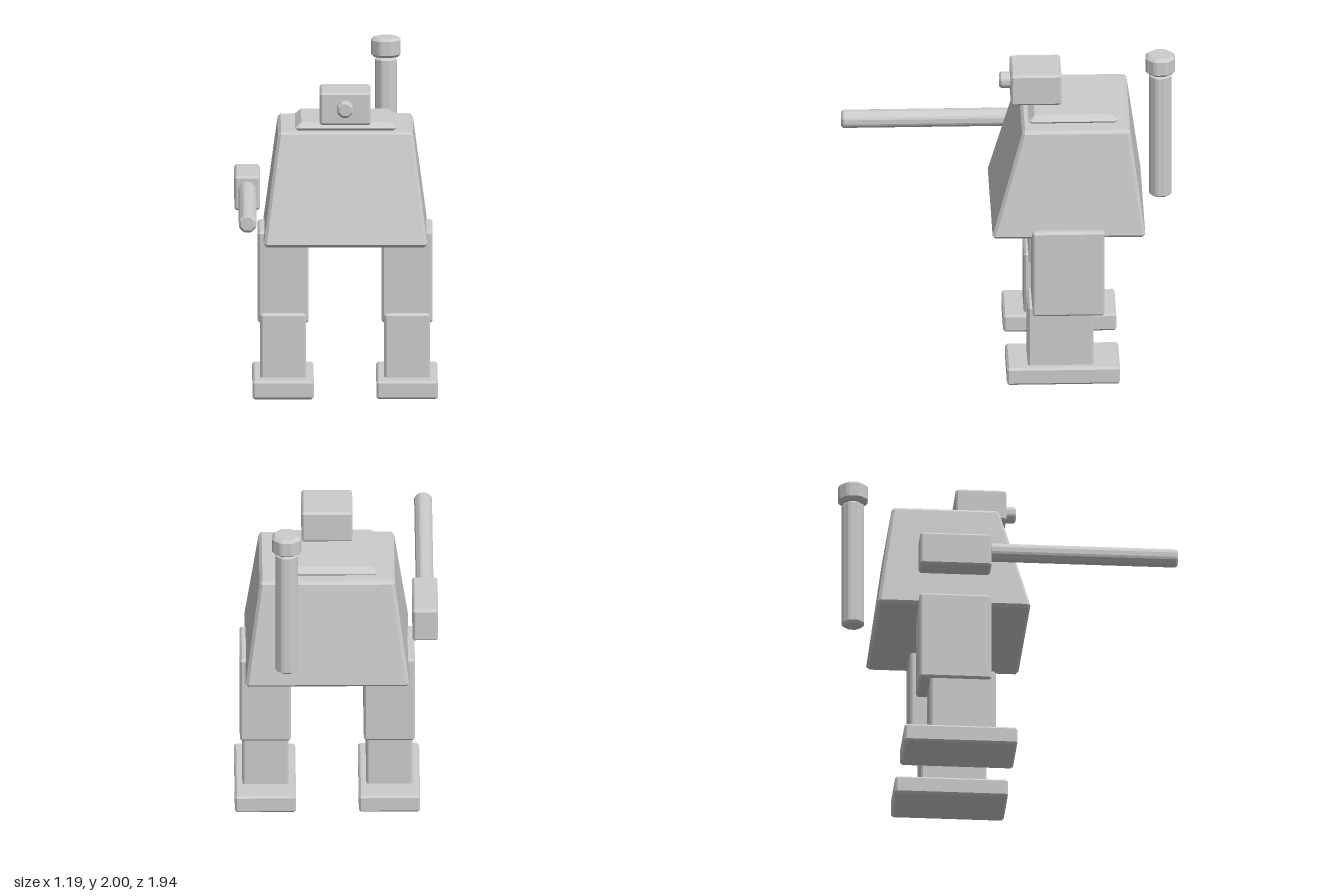
import * as THREE from 'three';
import { ConvexGeometry } from 'three/addons/geometries/ConvexGeometry.js';

const material = new THREE.MeshStandardMaterial({ color: 0xcccccc, flatShading: true });

function addMesh(parent, name, geometry) {
  const mesh = new THREE.Mesh(geometry, material);
  mesh.name = name;
  parent.add(mesh);
  return mesh;
}

// Chamfered block between two rectangles [x0, x1, z0, z1]; each corner becomes three points
function block(y0, y1, bottom, top = bottom, c = 0.013) {
  const points = [];
  for (const [y, r, sy] of [[y0, bottom, 1], [y1, top, -1]]) {
    for (const [x, sx] of [[r[0], 1], [r[1], -1]]) {
      for (const [z, sz] of [[r[2], 1], [r[3], -1]]) {
        points.push(
          new THREE.Vector3(x, y + sy * c, z + sz * c),
          new THREE.Vector3(x + sx * c, y, z + sz * c),
          new THREE.Vector3(x + sx * c, y + sy * c, z));
      }
    }
  }
  return new ConvexGeometry(points);
}

// Upright eight-sided rod with trimmed edges and chamfered ends, from y = 0 to y = length
function rod(radius, length, c = 0.012) {
  const points = [];
  const trim = Math.min(0.13, (c * 0.6) / radius);
  for (let i = 0; i < 8; i++) {
    const a = ((i + 0.5) * Math.PI) / 4;
    for (const [y, inner] of [[0, c], [length, length - c]]) {
      const r = radius - c;
      points.push(new THREE.Vector3(r * Math.cos(a), y, r * Math.sin(a)));
      for (const d of [-trim, trim]) {
        points.push(new THREE.Vector3(radius * Math.cos(a + d), inner, radius * Math.sin(a + d)));
      }
    }
  }
  return new ConvexGeometry(points);
}

export function createModel() {
  const model = new THREE.Group();
  model.name = 'walkerRobot';

  // Tapered body with a roof hatch
  addMesh(model, 'body', block(0.92, 1.58, [-0.428, 0.532, -0.785, 0.112], [-0.345, 0.45, -0.7, -0.063], 0.018));
  addMesh(model, 'hatch', block(1.575, 1.625, [-0.243, 0.347, -0.628, -0.105], [-0.225, 0.329, -0.61, -0.123], 0.018));

  // Head with a single eye
  addMesh(model, 'head', block(1.63, 1.825, [-0.1, 0.2, -0.303, -0.005]));
  const eye = addMesh(model, 'eye', rod(0.049, 0.075));
  eye.rotation.x = Math.PI / 2;
  eye.position.set(0.05, 1.732, -0.015);

  // Side gun
  const gun = new THREE.Group();
  gun.name = 'gun';
  model.add(gun);
  addMesh(gun, 'gunHousing', block(1.1, 1.305, [-0.6, -0.45, -0.55, -0.13]));
  const barrel = addMesh(gun, 'gunBarrel', rod(0.054, 1.11));
  barrel.rotation.x = Math.PI / 2;
  barrel.position.set(-0.525, 1.218, -0.14);

  // Exhaust stack behind the body
  const stack = new THREE.Group();
  stack.name = 'exhaustStack';
  stack.position.set(0.292, 0, -0.88);
  model.add(stack);
  addMesh(stack, 'stackPipe', rod(0.068, 0.785)).position.y = 1.095;
  addMesh(stack, 'stackCap', rod(0.09, 0.115, 0.016)).position.y = 1.885;

  // Two legs
  for (const [name, x] of [['rightLeg', -0.314], ['leftLeg', 0.414]]) {
    const leg = new THREE.Group();
    leg.name = name;
    leg.position.x = x;
    model.add(leg);
    addMesh(leg, 'thigh', block(0.43, 0.975, [-0.15, 0.15, -0.545, -0.12]));
    addMesh(leg, 'shin', block(0.09, 0.49, [-0.135, 0.135, -0.48, -0.093]));
    addMesh(leg, 'foot', block(0, 0.11, [-0.18, 0.18, -0.635, 0.03]));
  }
  return model;
}
